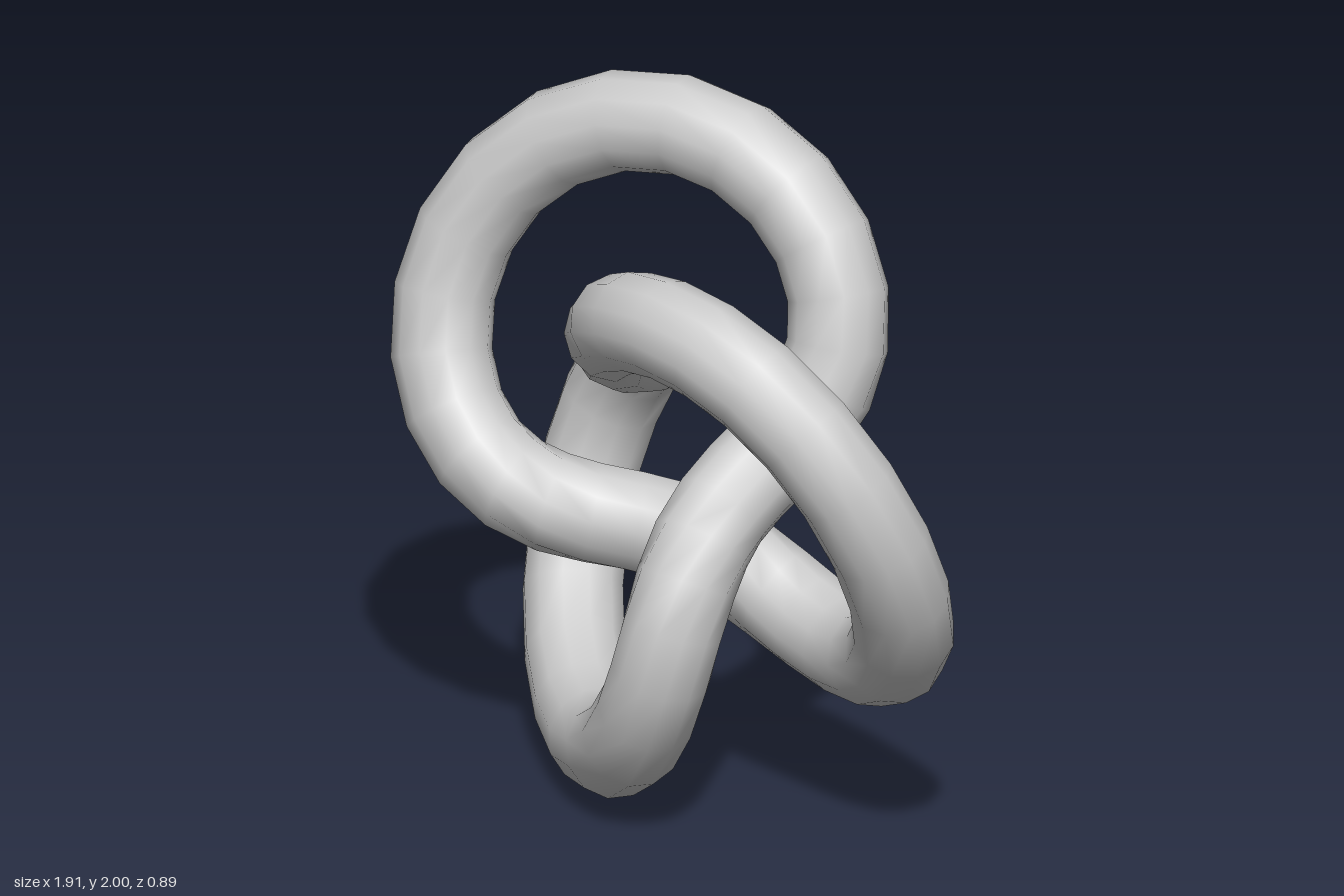
import * as THREE from 'three';

export function createModel() {
  const group = new THREE.Group();
  // Three-lobed closed knot: winds twice round its axis, three times through it
  const geometry = new THREE.TorusKnotGeometry(0.61, 0.14, 64, 12, 2, 3);
  const knot = new THREE.Mesh(geometry, new THREE.MeshStandardMaterial({ color: 0xcccccc }));
  knot.name = 'trefoilKnot';
  // One lobe points to +x, so the knot's axis sits left of the middle
  knot.position.set(-0.105, 1, 0);
  group.add(knot);
  return group;
}
